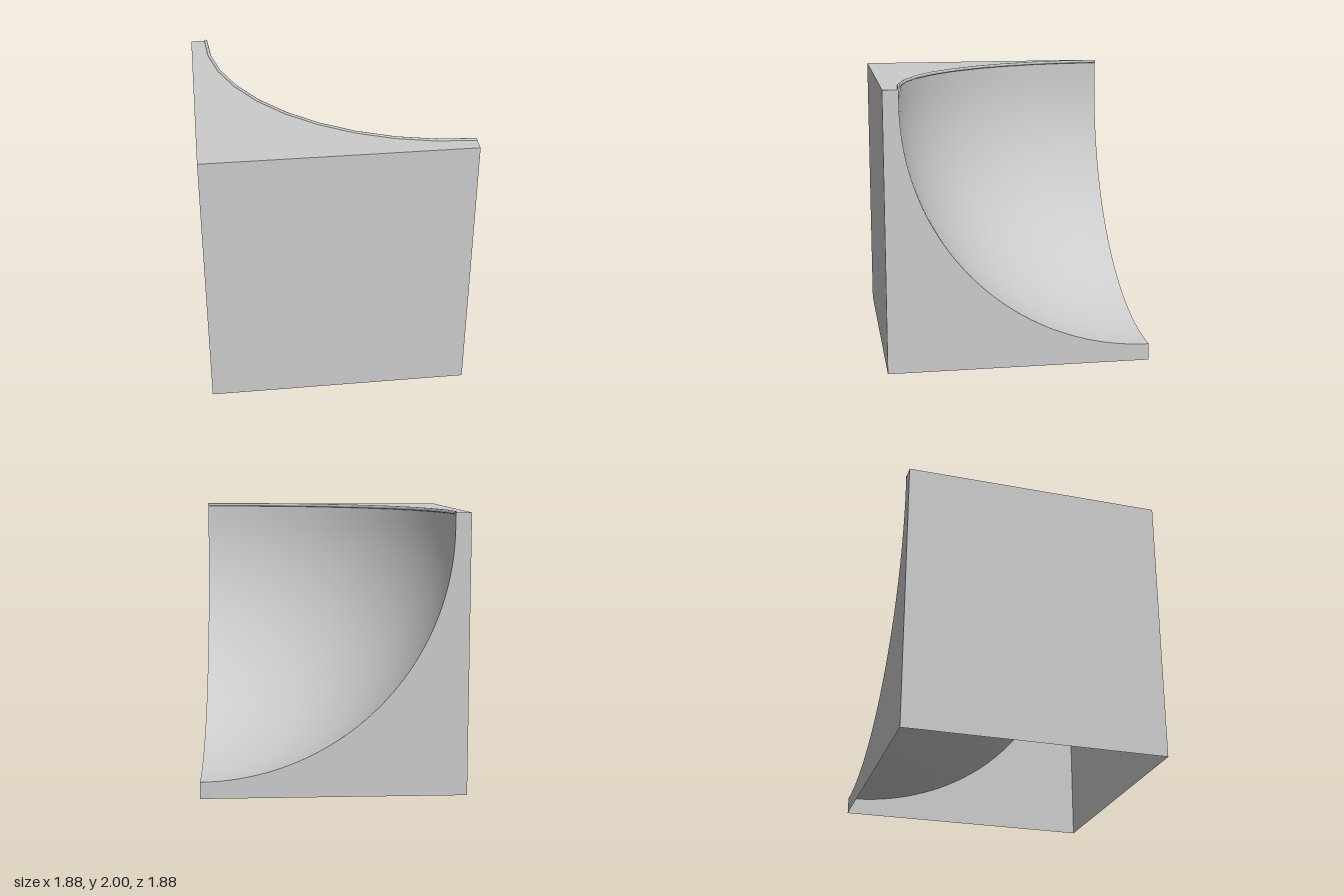
import * as THREE from 'three';

const SIZE = 1.88;    // footprint of the block
const HEIGHT = 1.99;  // top deck
const RADIUS = 1.77;  // bowl radius
const CENTER = 1.89;  // height of the bowl's centre; straight lip above it

export function createModel() {
  const model = new THREE.Group();
  model.name = 'quarterBowlRamp';
  const material = new THREE.MeshStandardMaterial({ color: 0xcccccc, side: THREE.DoubleSide });

  // Everything is built around the bowl's vertical axis at one corner
  const body = new THREE.Group();
  body.name = 'rampBody';
  body.position.set(SIZE / 2, 0, -SIZE / 2);
  model.add(body);

  const add = (name, geometry, x = 0, y = 0, z = 0) => {
    const mesh = new THREE.Mesh(geometry, material);
    mesh.name = name;
    mesh.position.set(x, y, z);
    body.add(mesh);
  };

  // Bowl profile, from the lip down to the lowest point on the axis
  const profile = [new THREE.Vector2(RADIUS, HEIGHT)];
  const steps = 40;
  for (let i = 0; i <= steps; i++) {
    const a = (i / steps) * Math.PI / 2;
    profile.push(new THREE.Vector2(RADIUS * Math.cos(a), CENTER - RADIUS * Math.sin(a)));
  }
  profile[steps + 1].x = 0;
  add('bowl', new THREE.LatheGeometry(profile, 40, Math.PI * 1.5, Math.PI / 2));

  // Solid outer walls
  add('frontWall', new THREE.PlaneGeometry(SIZE, HEIGHT), -SIZE / 2, HEIGHT / 2, SIZE);
  add('sideWall', new THREE.PlaneGeometry(SIZE, HEIGHT).rotateY(-Math.PI / 2), -SIZE, HEIGHT / 2, SIZE / 2);

  // Two walls cut along the bowl's profile, mirrored about the diagonal
  const cutWall = (sign) => new THREE.ShapeGeometry(new THREE.Shape([
    new THREE.Vector2(0, 0),
    new THREE.Vector2(sign * SIZE, 0),
    new THREE.Vector2(sign * SIZE, HEIGHT),
    ...profile.map((p) => new THREE.Vector2(sign * p.x, p.y)),
  ]));
  add('backCutWall', cutWall(1).rotateY(Math.PI));
  add('sideCutWall', cutWall(-1).rotateY(Math.PI / 2));

  // Top deck with the quarter-round opening
  const deck = new THREE.Shape();
  deck.moveTo(-SIZE, 0);
  deck.lineTo(-SIZE, -SIZE);
  deck.lineTo(0, -SIZE);
  deck.lineTo(0, -RADIUS);
  deck.absarc(0, 0, RADIUS, Math.PI * 1.5, Math.PI, true);
  add('topDeck', new THREE.ShapeGeometry(deck, 40).rotateX(-Math.PI / 2), 0, HEIGHT, 0);

  // Coping rail along the lip
  const rail = new THREE.TorusGeometry(RADIUS - 0.002, 0.0125, 8, 10, Math.PI / 2);
  add('copingRail', rail.rotateZ(Math.PI / 2).rotateX(Math.PI / 2), 0, 1.9875, 0);

  return model;
}
